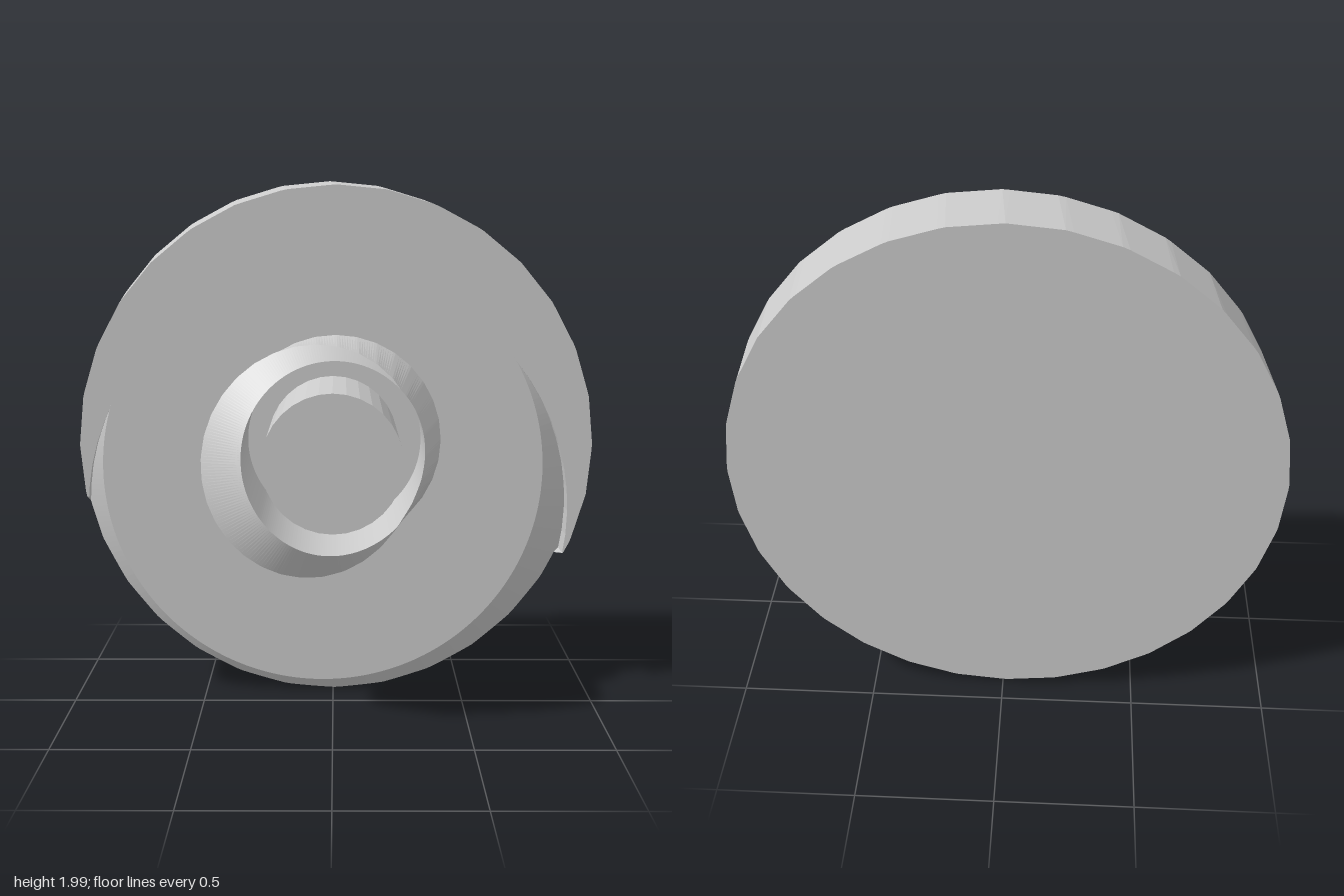
import * as THREE from 'three';

const STEPS = 256, FRONT = -0.125, BACK = -0.415;
const material = new THREE.MeshStandardMaterial({ color: 0xcccccc, flatShading: true });

// Distance along a ray from (ox, oy) to a many-sided outline round (cx, cy)
function reach(ox, oy, angle, cx, cy, radius, sides = 32) {
  let lo = 0, hi = 3;
  const seg = Math.PI * 2 / sides;
  for (let i = 0; i < 30; i++) {
    const mid = (lo + hi) / 2;
    const x = ox + mid * Math.cos(angle) - cx, y = oy + mid * Math.sin(angle) - cy;
    const a = Math.atan2(y, x) + Math.PI * 2;
    const limit = radius * Math.cos(seg / 2) / Math.cos((a % seg) - seg / 2);
    if (Math.hypot(x, y) < limit) lo = mid; else hi = mid;
  }
  return lo;
}

// Skin between rings; section(angle) gives [radius, z] pairs about (ox, oy)
function polarSkin(name, ox, oy, section) {
  const rows = [], pos = [], index = [];
  for (let j = 0; j <= STEPS; j++) {
    const a = (j % STEPS) / STEPS * Math.PI * 2;
    rows.push(section(a).map(([r, z]) => [ox + r * Math.cos(a), oy + r * Math.sin(a), z]));
  }
  const n = rows[0].length;
  rows.forEach(row => row.forEach(p => pos.push(...p)));
  for (let j = 0; j < STEPS; j++) {
    for (let i = 0; i < n - 1; i++) {
      const a = j * n + i, b = a + 1, c = b + n, d = a + n;
      index.push(a, b, c, a, c, d);
    }
  }
  const geometry = new THREE.BufferGeometry();
  geometry.setAttribute('position', new THREE.Float32BufferAttribute(pos, 3));
  geometry.setIndex(index);
  geometry.computeVertexNormals();
  const mesh = new THREE.Mesh(geometry, material);
  mesh.name = name;
  return mesh;
}

// Slightly leaning disc with an off-centre bevelled groove in its front
function makeDisc() {
  const ox = -0.04, oy = 0.9, inner = 0.85;
  const edge = (a, z) => {
    const t = (z - BACK) / (FRONT - BACK);
    return reach(ox, oy, a, -0.012 + 0.023 * t, 1.012 - 0.02 * t, 0.988);
  };
  const slope = r => FRONT - 0.68 * Math.max(0, r - inner);
  return polarSkin('disc', ox, oy, a => {
    const rim = edge(a, FRONT), wall = reach(ox, oy, a, -0.02, 0.73, 0.93, 64);
    const back = edge(a, BACK);
    let ring;
    if (wall <= inner) {
      ring = [[inner, FRONT], [inner, FRONT], [rim, FRONT]];
    } else if (wall < rim) {
      ring = [[wall, slope(wall)], [wall, FRONT], [rim, FRONT]];
    } else {
      const r = edge(a, slope(rim));
      ring = [[r, slope(r)], [r, slope(r)], [r, slope(r)]];
    }
    return [[0, FRONT], [inner, FRONT], ...ring, [back, BACK], [0, BACK]];
  });
}

// Leaning collar with a straight bore and a conical front bevel
function makeCollar() {
  const ox = 0.005, oy = 1.015, bore = 0.332;
  const edge = (a, z) =>
    reach(ox, oy, a, 0.01 - 0.27 * (z - FRONT), 1.012 - 0.055 * (z - FRONT), 0.405);
  const bevel = (a, r) =>
    0.33 - 0.8 * (Math.hypot(ox + r * Math.cos(a) + 0.04, oy + r * Math.sin(a) - 0.87) - 0.28);
  return polarSkin('collar', ox, oy, a => {
    let outer = 0.4;
    for (let i = 0; i < 15; i++) outer = edge(a, bevel(a, outer));
    let zOuter = bevel(a, outer), zBore = bevel(a, bore);
    if (outer < bore) {
      // the bore breaks through the leaning wall here
      let lo = FRONT, hi = 0.4;
      for (let i = 0; i < 25; i++) {
        const mid = (lo + hi) / 2;
        if (edge(a, mid) > bore) lo = mid; else hi = mid;
      }
      outer = bore;
      zOuter = zBore = lo;
    }
    return [[bore, FRONT], [bore, zBore], [outer, zOuter], [edge(a, FRONT), FRONT]];
  });
}

export function createModel() {
  const model = new THREE.Group();
  model.name = 'knob';
  model.add(makeDisc(), makeCollar());

  // Straight round pin standing in the bore
  const length = 0.415 - FRONT;
  const pin = new THREE.Mesh(new THREE.CylinderGeometry(0.248, 0.248, length, 32), material);
  pin.name = 'centrePin';
  pin.rotation.x = Math.PI / 2;
  pin.position.set(0, 1.012, FRONT + length / 2);
  model.add(pin);
  return model;
}
